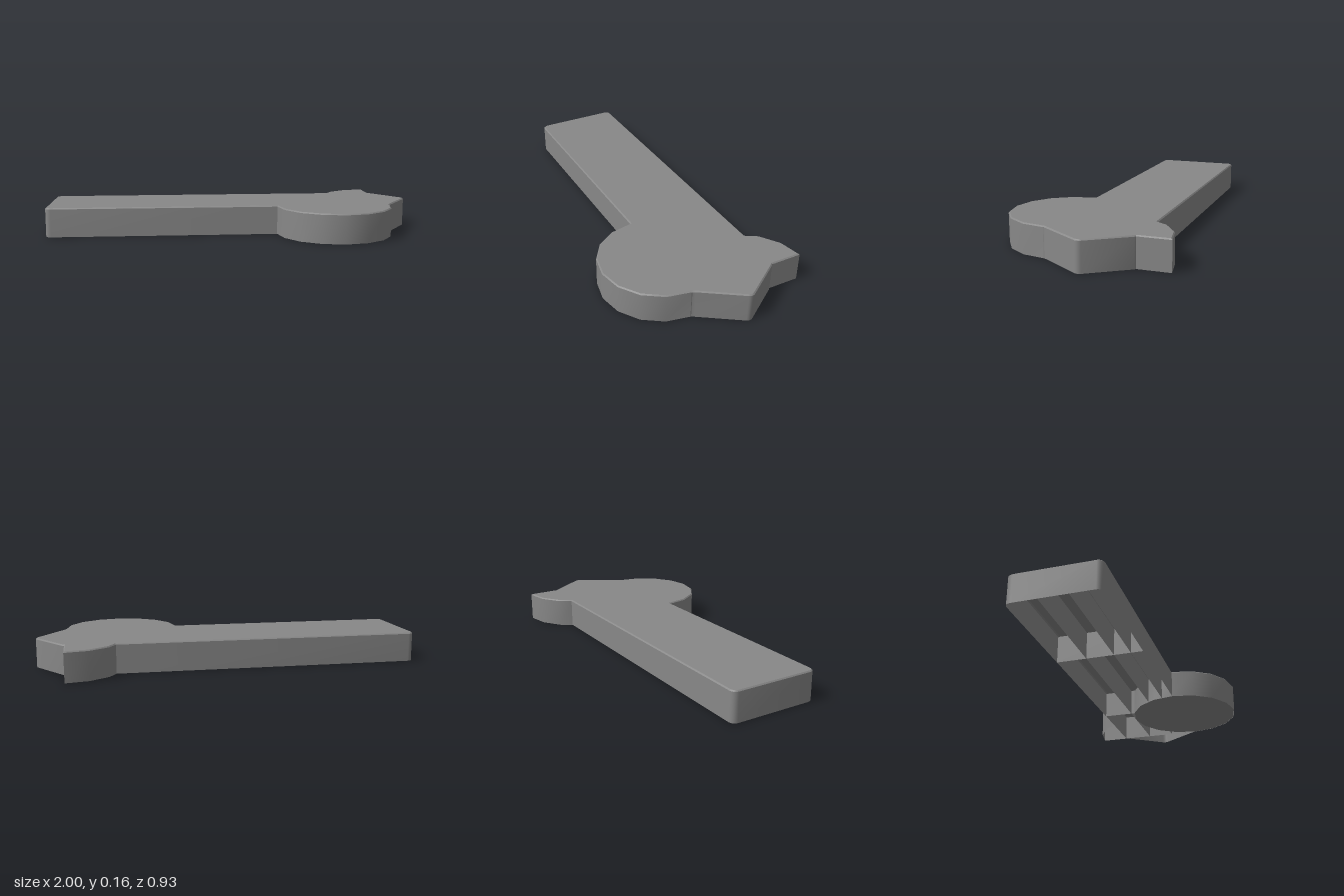
import * as THREE from 'three';
import { toCreasedNormals } from 'three/addons/utils/BufferGeometryUtils.js';

const H = 0.155, BEVEL = 0.006, R = 0.308;
const BACK = -0.312, FRONT = 0.155, SHOULDER = 0.853;

// Arc of points in plan (x, -z), angles in degrees
function arc(cx, cy, r, from, to, n) {
  return Array.from({ length: n + 1 }, (_, i) => {
    const a = THREE.MathUtils.degToRad(from + (to - from) * i / n);
    return new THREE.Vector2(cx + r * Math.cos(a), cy + r * Math.sin(a));
  });
}

// Move a counter-clockwise outline inward by d
function inset(loop, d) {
  return loop.map((p, i) => {
    const e1 = p.clone().sub(loop.at(i - 1)).normalize();
    const e2 = loop[(i + 1) % loop.length].clone().sub(p).normalize();
    const n1 = new THREE.Vector2(-e1.y, e1.x), n2 = new THREE.Vector2(-e2.y, e2.x);
    const k = d / Math.max(0.4, 1 + n1.dot(n2));
    return p.clone().addScaledVector(n1.add(n2), k);
  });
}

// Skin between two matching plan loops at two heights
function band(lower, y0, upper, y1) {
  const v = [];
  lower.forEach((a, i) => {
    const j = (i + 1) % lower.length, b = lower[j], c = upper[j], d = upper[i];
    v.push(a.x, y0, -a.y, b.x, y0, -b.y, c.x, y1, -c.y);
    v.push(a.x, y0, -a.y, c.x, y1, -c.y, d.x, y1, -d.y);
  });
  const g = new THREE.BufferGeometry();
  g.setAttribute('position', new THREE.Float32BufferAttribute(v, 3));
  return toCreasedNormals(g, Math.PI / 5);
}

export function createModel() {
  const group = new THREE.Group();
  const mat = new THREE.MeshStandardMaterial({ color: 0x888888, side: THREE.DoubleSide });
  const add = (name, geo) => {
    const m = new THREE.Mesh(geo, mat);
    m.name = name;
    group.add(m);
  };

  // Plan outline: bar end, round lobe, pointed tip, quarter-round fin
  const outline = [
    ...arc(-0.97, 0.03 - FRONT, 0.03, 180, 270, 4),
    ...arc(0.543, -FRONT, R, 180, 360, 8),
    new THREE.Vector2(0.86, -0.138),
    ...arc(0.97, 0.08, 0.03, -34, 34, 4),
    new THREE.Vector2(0.86, 0.292),
    new THREE.Vector2(SHOULDER, 0.297),
    ...arc(SHOULDER, 0.155, R, 90, 135, 2),
    new THREE.Vector2(0.598, -BACK),
    ...arc(-0.97, -BACK - 0.03, 0.03, 90, 180, 4),
  ];
  const rim = inset(outline, BEVEL);

  // Hollow shell, open underneath
  add('outerWall', band(outline, 0, outline, H - BEVEL));
  add('topBevel', band(outline, H - BEVEL, rim, H));
  const top = new THREE.ShapeGeometry(new THREE.Shape(rim));
  top.rotateX(-Math.PI / 2).translate(0, H, 0);
  add('topPlate', top);

  // Solid round boss under the lobe
  const boss = new THREE.CylinderGeometry(R - 0.002, R - 0.002, H - 0.01, 16);
  boss.rotateY(Math.PI / 2).translate(0.543, (H - 0.01) / 2, FRONT);
  add('roundBoss', toCreasedNormals(boss, Math.PI / 5));

  // Thin stiffening ribs inside the bar
  const rib = (name, x0, z0, x1, z1) => {
    const h = H - 0.005;
    const g = new THREE.PlaneGeometry(Math.hypot(x1 - x0, z1 - z0), h);
    g.rotateY(Math.atan2(z0 - z1, x1 - x0));
    g.translate((x0 + x1) / 2, h / 2, (z0 + z1) / 2);
    add(name, g);
  };
  for (const z of [-0.15, 0, 0.09]) rib('longRib', -1, z, SHOULDER, z);
  for (const x of [-0.37, 0.43, SHOULDER]) rib('crossRib', x, BACK, x, FRONT);

  // Bar wall running on behind the fin
  rib('finRootWall', 0.598, BACK, SHOULDER, BACK);
  return group;
}
